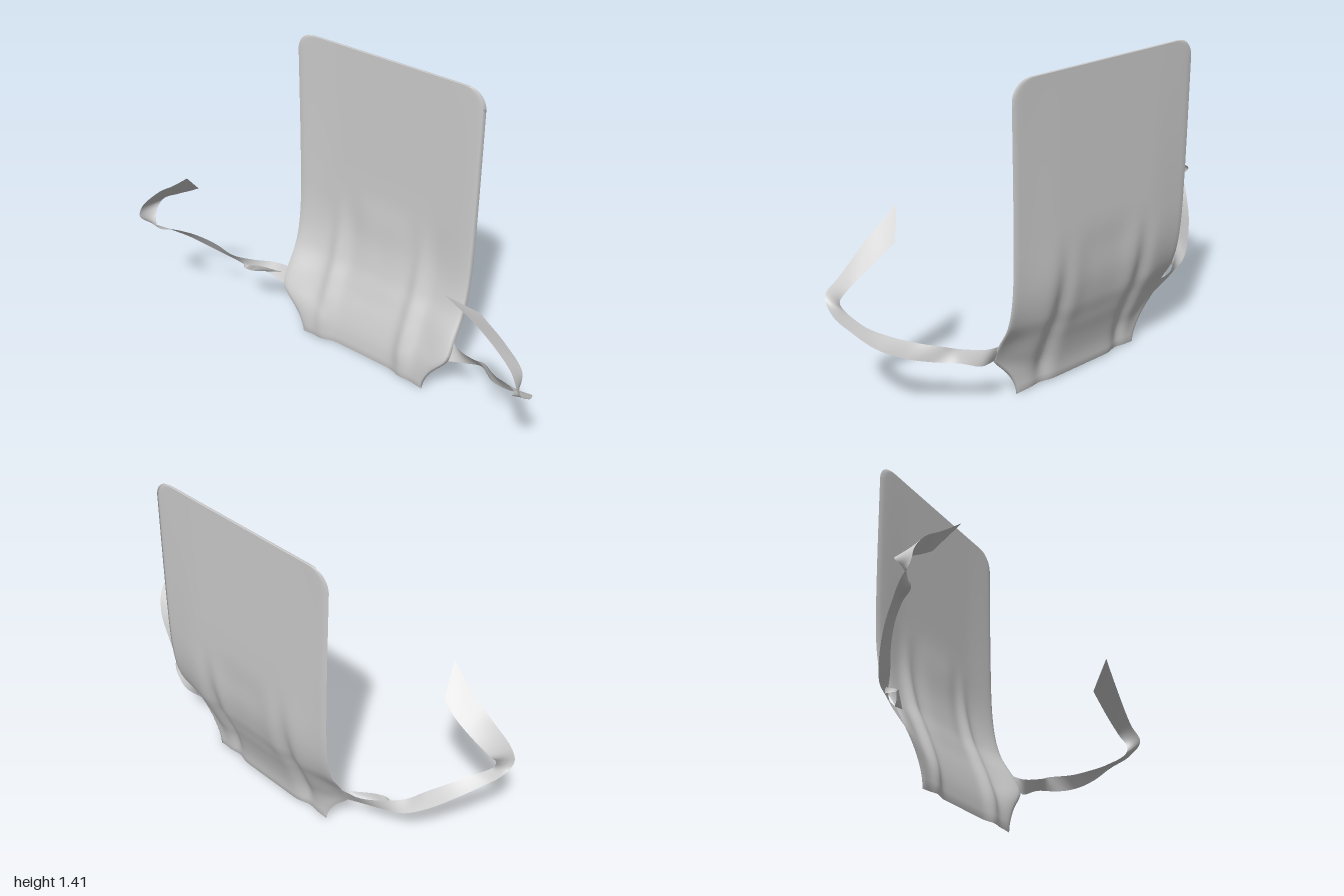
import * as THREE from 'three';

const material = new THREE.MeshStandardMaterial({ color: 0xcccccc, side: THREE.DoubleSide });
const smooth = THREE.MathUtils.smoothstep;

// Smooth curve through [key, value] pairs, read at any key
function profile(points) {
  return (k) => {
    let i = 0;
    while (i < points.length - 2 && k > points[i + 1][0]) i++;
    const at = (j) => points[Math.min(Math.max(j, 0), points.length - 1)];
    const slope = (j) => (at(j + 1)[1] - at(j - 1)[1]) / (at(j + 1)[0] - at(j - 1)[0]);
    const [a, b] = [at(i), at(i + 1)], h = b[0] - a[0];
    const t = Math.min(Math.max((k - a[0]) / h, 0), 1), t2 = t * t, t3 = t2 * t;
    return (2 * t3 - 3 * t2 + 1) * a[1] + (t3 - 2 * t2 + t) * h * slope(i)
      + (3 * t2 - 2 * t3) * b[1] + (t3 - t2) * h * slope(i + 1);
  };
}

// Skin a grid of rows of points; point(i, j) gives a Vector3
function skin(rows, cols, point) {
  const positions = [], index = [];
  for (let i = 0; i <= rows; i++) {
    for (let j = 0; j <= cols; j++) positions.push(...point(i, j).toArray());
  }
  for (let i = 0; i < rows; i++) {
    for (let j = 0; j < cols; j++) {
      const a = i * (cols + 1) + j, b = a + cols + 1;
      index.push(a, a + 1, b, b, a + 1, b + 1);
    }
  }
  const geometry = new THREE.BufferGeometry();
  geometry.setAttribute('position', new THREE.Float32BufferAttribute(positions, 3));
  geometry.setIndex(index);
  geometry.computeVertexNormals();
  return geometry;
}

// Panel outline and its depth along the middle and along the sides
const TOP = 1.413, RADIUS = 0.08;
const flare = profile([[0, 0.335], [0.05, 0.345], [0.12, 0.385], [0.2, 0.453], [0.23, 0.464], [0.3, 0.463], [0.6, 0.464], [1.42, 0.467]]);
const middleZ = profile([[0, -0.105], [0.1, -0.118], [0.2, -0.147], [0.3, -0.188], [0.4, -0.228], [0.55, -0.255], [0.75, -0.258], [1.42, -0.256]]);
const sideZ = profile([[0, -0.09], [0.1, -0.09], [0.2, -0.095], [0.28, -0.13], [0.4, -0.2], [0.55, -0.235], [0.8, -0.248], [1.42, -0.255]]);

function halfWidth(y) {
  const over = Math.max(0, y - (TOP - RADIUS));
  return flare(y) - RADIUS + Math.sqrt(Math.max(0, RADIUS * RADIUS - over * over));
}

function panelZ(x, y) {
  const edge = smooth(Math.abs(x) / flare(y), 0.5, 1);
  let z = THREE.MathUtils.lerp(middleZ(y), sideZ(y), edge);
  // Two upright folds that fade out upwards, and a soft pad between them
  const fade = 1 - smooth(y, 0.3, 0.78);
  const start = 0.5 + 0.5 * smooth(y, 0, 0.15);
  for (const fold of [-0.23, 0.21]) z += 0.027 * fade * start * Math.exp(-(((x - fold) / 0.042) ** 2));
  z += 0.012 * Math.exp(-((x / 0.14) ** 4) - (((y - 0.5) / 0.2) ** 4));
  return z;
}

function makePanel() {
  const rows = 90, across = 64;
  return skin(rows, across * 2, (i, j) => {
    const v = i / rows;
    // Rows crowd together in the rounded top corners
    const y = v < 0.8 ? 0.01 + (v / 0.8) * (TOP - RADIUS - 0.01)
      : TOP - RADIUS + RADIUS * Math.sin(((v - 0.8) / 0.2) * Math.PI / 2);
    const front = j <= across;
    const u = (front ? j : 2 * across - j) / across * 2 - 1;
    const x = u * halfWidth(y);
    const rim = Math.sqrt(Math.max(0, 1 - Math.abs(u) ** 30)) * (i === 0 || i === rows ? 0 : 1);
    return new THREE.Vector3(x - 0.007, y - 0.01 * (1 - smooth(y, 0, 0.1)) * Math.abs(u) ** 4,
      panelZ(x, y) + (front ? 0.005 : -0.005) * rim);
  });
}

// Ribbon between two edge curves
function makeStrap(outer, inner) {
  const curve = (list) => new THREE.CatmullRomCurve3(list.map((p) => new THREE.Vector3(...p)));
  const a = curve(outer), b = curve(inner);
  return skin(96, 6, (i, j) => a.getPoint(i / 96).lerp(b.getPoint(i / 96), j / 6));
}

const leftOuter = [[0.45, 0.21, -0.1], [0.53, 0.225, -0.12], [0.62, 0.265, -0.1], [0.7, 0.275, -0.04], [0.8, 0.31, 0.005],
  [0.9, 0.37, 0.05], [0.965, 0.44, 0.11], [0.995, 0.49, 0.19], [0.985, 0.55, 0.255], [0.93, 0.62, 0.235], [0.78, 0.75, 0.235], [0.64, 0.84, 0.25]];
const leftInner = [[0.45, 0.29, -0.135], [0.5, 0.285, -0.11], [0.6, 0.31, -0.07], [0.65, 0.33, -0.055], [0.74, 0.355, 0.01],
  [0.82, 0.39, 0.06], [0.89, 0.43, 0.12], [0.93, 0.48, 0.2], [0.955, 0.53, 0.2], [0.945, 0.58, 0.17], [0.86, 0.65, 0.15], [0.73, 0.735, 0.14]];
const rightOuter = [[-0.46, 0.21, -0.1], [-0.55, 0.24, -0.09], [-0.64, 0.25, -0.06], [-0.72, 0.275, -0.04], [-0.8, 0.325, 0.01], [-0.88, 0.395, 0.08],
  [-0.94, 0.45, 0.15], [-0.985, 0.495, 0.21], [-1, 0.545, 0.26], [-0.98, 0.605, 0.26], [-0.88, 0.71, 0.24], [-0.78, 0.78, 0.245], [-0.67, 0.865, 0.26]];
const rightInner = [[-0.465, 0.29, -0.135], [-0.54, 0.29, -0.12], [-0.62, 0.295, -0.07], [-0.7, 0.32, -0.01], [-0.76, 0.375, 0.03], [-0.83, 0.43, 0.09],
  [-0.89, 0.47, 0.16], [-0.93, 0.495, 0.22], [-0.955, 0.56, 0.2], [-0.95, 0.61, 0.16], [-0.86, 0.665, 0.145], [-0.78, 0.71, 0.145], [-0.71, 0.755, 0.16]];
// Small crumpled tuck where the right strap is gathered
const tuckOuter = [[-0.56, 0.25, -0.08], [-0.61, 0.255, -0.04], [-0.64, 0.265, -0.025], [-0.67, 0.255, -0.05]];
const tuckInner = [[-0.48, 0.27, -0.1], [-0.58, 0.29, -0.05], [-0.62, 0.285, -0.03], [-0.67, 0.28, -0.05]];

export function createModel() {
  const group = new THREE.Group();
  group.name = 'strappedPanel';
  const add = (name, geometry) => {
    const mesh = new THREE.Mesh(geometry, material);
    mesh.name = name;
    group.add(mesh);
  };
  add('panel', makePanel());
  add('leftStrap', makeStrap(leftOuter, leftInner));
  add('rightStrap', makeStrap(rightInner, rightOuter));
  add('strapTuck', makeStrap(tuckInner, tuckOuter));
  return group;
}
